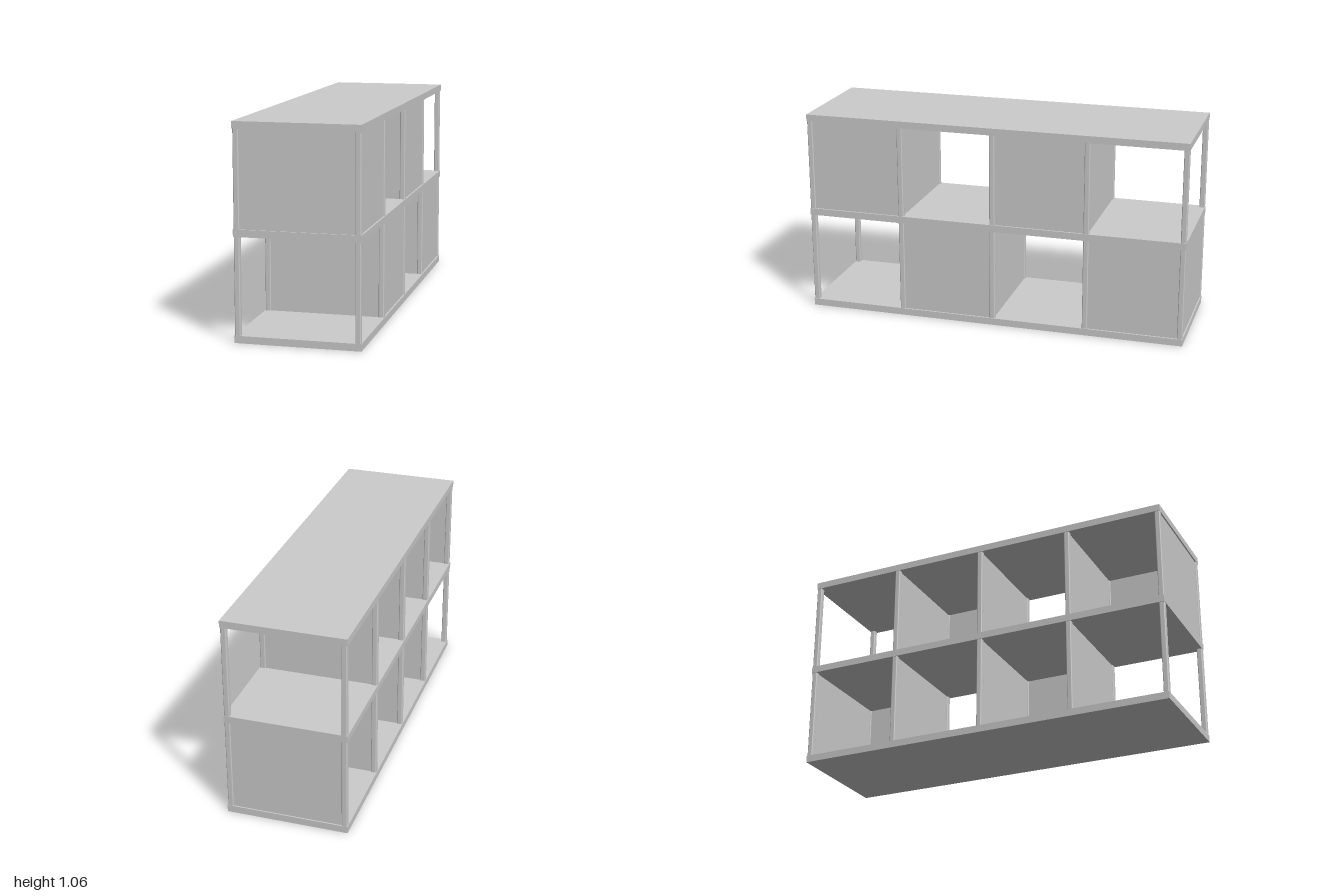
import * as THREE from 'three';
import { RoundedBoxGeometry } from 'three/addons/geometries/RoundedBoxGeometry.js';

const HALF_X = 0.31, HALF_Z = 1, SLAB = 0.036, POST = 0.028;
const SHELVES = [0, 0.513, 1.023]; // undersides of the three boards
const POST_Z = [0.985, 0.493, 0, -0.493, -0.985];

export function createModel() {
  const root = new THREE.Group();
  root.name = 'shelfUnit';
  const material = new THREE.MeshStandardMaterial({ color: 0xcccccc });

  const add = (name, geometry, x, y, z) => {
    const mesh = new THREE.Mesh(geometry, material);
    mesh.name = name;
    mesh.position.set(x, y, z);
    root.add(mesh);
  };

  // Horizontal boards
  ['bottomBoard', 'middleBoard', 'topBoard'].forEach((name, i) =>
    add(name, new THREE.BoxGeometry(HALF_X * 2, SLAB, HALF_Z * 2), 0, SHELVES[i] + SLAB / 2, 0));

  for (let level = 0; level < 2; level++) {
    const bottom = SHELVES[level] + SLAB;
    const height = SHELVES[level + 1] - bottom;
    const y = bottom + height / 2;
    const row = level ? 'upper' : 'lower';

    // Slightly rounded posts on both long sides
    for (const z of POST_Z) {
      for (const side of [-1, 1]) {
        add(row + 'Post', new RoundedBoxGeometry(POST, height + 0.012, POST, 3, 0.005),
          side * (HALF_X - 0.003 - POST / 2), y, z);
      }
    }

    // Dividers between neighbouring compartments
    for (const z of POST_Z.slice(1, 4)) {
      add(row + 'Divider', new THREE.BoxGeometry(0.56, height, 0.016), 0, y, z);
    }

    // Side panels close alternate compartments, staggered between levels
    for (let cell = 0; cell < 4; cell++) {
      if ((cell + level) % 2 === 0) continue;
      const z = (POST_Z[cell] + POST_Z[cell + 1]) / 2;
      const width = POST_Z[cell] - POST_Z[cell + 1] - POST;
      add(row + 'SidePanel', new THREE.BoxGeometry(0.016, height, width + 0.004), 0.293, y, z);
    }

    // End panel: front of the upper level, back of the lower level
    add(row + 'EndPanel', new THREE.BoxGeometry(0.562, height, 0.016), 0, y, level ? 0.985 : -0.985);
  }
  return root;
}
